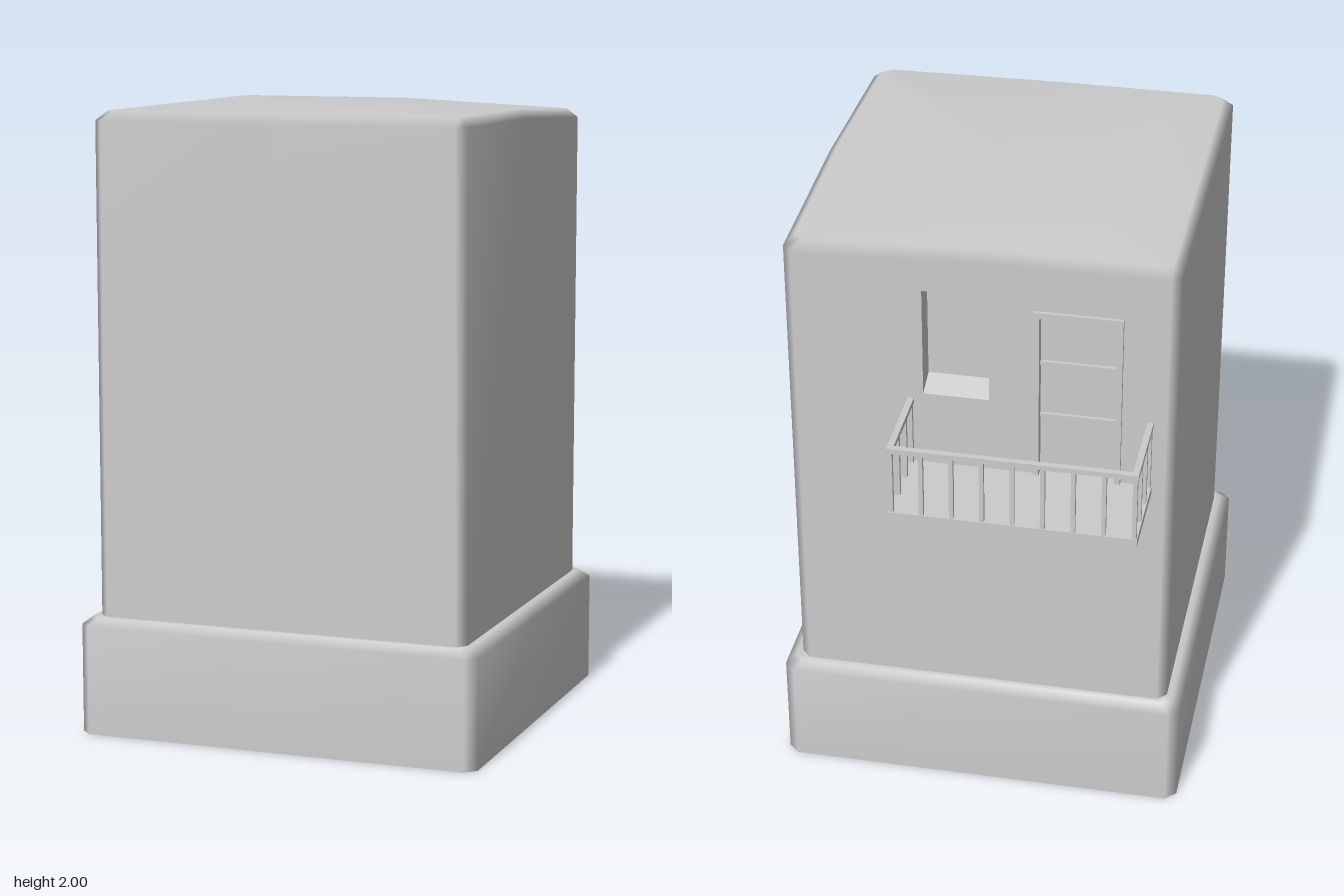
import * as THREE from 'three';

const grey = new THREE.MeshStandardMaterial({ color: 0xcccccc });
const greyOpen = new THREE.MeshStandardMaterial({ color: 0xcccccc, side: THREE.DoubleSide });
const BACK = -0.49;

function add(parent, name, geometry, material = grey) {
  const mesh = new THREE.Mesh(geometry, material);
  mesh.name = name;
  parent.add(mesh);
  return mesh;
}

// Box given by its two extreme corners
function box(parent, name, x0, x1, y0, y1, z0, z1) {
  const g = new THREE.BoxGeometry(x1 - x0, y1 - y0, z1 - z0);
  g.translate((x0 + x1) / 2, (y0 + y1) / 2, (z0 + z1) / 2);
  return add(parent, name, g);
}

// Slight sag of the back left roof corner and lean of the front left corner
function settle([x, y, z]) {
  const t = Math.max(0, (y - 0.38) / 1.62);
  if (x > 0.5 && z < -0.4 && y > 1.9) return [x, y - 0.025, z];
  if (x > 0.5 && z > 0.6) return [x - 0.015 * t, y, z - 0.015 * t];
  return [x, y, z];
}

// Chamfered rectangle with a point in the middle of each side
function ring(a, y, c) {
  const zb = 0.13 - a, zf = a + 0.12, m = 0.125;
  return [
    [a - c, y, zb], [a, y, zb + c], [a, y, m], [a, y, zf - c],
    [a - c, y, zf], [0, y, zf], [c - a, y, zf], [-a, y, zf - c],
    [-a, y, m], [-a, y, zb + c], [c - a, y, zb], [0, y, zb],
  ].map(settle);
}

// Hollow shell, open below: plinth, ledge, walls and roof
function shell(rings) {
  const n = 12, points = rings.flat(), all = [], kept = [];
  points.push([0, 1.998, 0.125]);
  const push = (skip, ...ids) => {
    all.push(...ids);
    if (!skip) kept.push(...ids);
  };
  for (let i = 0; i < rings.length - 1; i++) {
    for (let j = 0; j < n; j++) {
      const a = i * n + j, b = i * n + (j + 1) % n;
      // the back wall is a separate pierced panel
      push(i === 4 && j >= 10, a, a + n, b, b, a + n, b + n);
    }
  }
  const last = (rings.length - 1) * n;
  for (let j = 0; j < n; j++) push(false, points.length - 1, last + (j + 1) % n, last + j);
  const g = new THREE.BufferGeometry();
  g.setAttribute('position', new THREE.Float32BufferAttribute(points.flat(), 3));
  g.setIndex(all);
  g.computeVertexNormals();
  g.setIndex(kept);
  return g;
}

// Five-sided tray set into the back wall, with an optional sloping sill
function recess(parent, name, o, depth, sill = 0) {
  const g = new THREE.BoxGeometry(o.x1 - o.x0, o.y1 - o.y0, depth);
  g.setIndex(Array.from(g.index.array).slice(0, 30));
  const p = g.attributes.position;
  for (let i = 0; i < p.count; i++) {
    if (p.getZ(i) > 0 && p.getY(i) < 0) p.setY(i, p.getY(i) + sill);
  }
  // turn the faces inward
  const ids = g.index.array;
  for (let i = 0; i < ids.length; i += 3) [ids[i], ids[i + 1]] = [ids[i + 1], ids[i]];
  const flat = g.toNonIndexed();
  flat.computeVertexNormals();
  flat.translate((o.x0 + o.x1) / 2, (o.y0 + o.y1) / 2, BACK + depth / 2);
  add(parent, name, flat, greyOpen);
}

export function createModel() {
  const model = new THREE.Group();
  model.name = 'tower';

  const rings = [
    ring(0.67, 0, 0.035), ring(0.67, 0.355, 0.035), ring(0.64, 0.38, 0.03),
    ring(0.62, 0.38, 0.03), ring(0.62, 0.381, 0.03), ring(0.62, 1.97, 0.03), ring(0.59, 2, 0.03),
  ];
  add(model, 'towerShell', shell(rings), greyOpen);

  // Back wall with window and door openings, drawn mirrored then turned round
  const win = { x0: -0.03, x1: 0.18, y0: 1.48, y1: 1.85 };
  const door = { x0: -0.43, x1: -0.19, y0: 1.225, y1: 1.8 };
  const outline = [rings[4][10], rings[4][0], rings[5][0], rings[5][11], rings[5][10]];
  const wall = new THREE.Shape(outline.map(([x, y]) => new THREE.Vector2(-x, y)));
  for (const o of [win, door]) {
    wall.holes.push(new THREE.Path([
      [-o.x0, o.y0], [-o.x0, o.y1], [-o.x1, o.y1], [-o.x1, o.y0],
    ].map(([x, y]) => new THREE.Vector2(x, y))));
  }
  const wallGeometry = new THREE.ShapeGeometry(wall).rotateY(Math.PI).translate(0, 0, BACK);
  add(model, 'backWall', wallGeometry, greyOpen);
  recess(model, 'windowRecess', win, 0.08, 0.03);

  // Door with thin frame and cross rails
  const doorway = new THREE.Group();
  doorway.name = 'door';
  model.add(doorway);
  recess(doorway, 'doorPanel', door, 0.02);
  const f0 = BACK - 0.013, f1 = BACK + 0.005;
  box(doorway, 'doorJamb', door.x0 - 0.02, door.x0, 1.225, 1.82, f0, f1);
  box(doorway, 'doorJamb', door.x1, door.x1 + 0.02, 1.225, 1.82, f0, f1);
  box(doorway, 'doorLintel', door.x0, door.x1, 1.8, 1.82, f0, f1);
  for (const y of [1.44, 1.63]) {
    box(doorway, 'doorRail', door.x0, door.x1, y - 0.006, y + 0.006, BACK + 0.008, BACK + 0.02);
  }

  // Balcony slab, handrails and balusters
  const balcony = new THREE.Group();
  balcony.name = 'balcony';
  model.add(balcony);
  const x0 = -0.55, x1 = 0.23, z0 = -0.79, w = 0.02;
  box(balcony, 'balconySlab', x0, x1, 1.2, 1.225, z0, BACK);
  box(balcony, 'outerHandrail', x0, x1, 1.443, 1.46, z0, z0 + w);
  for (const x of [x0, x1 - w]) {
    box(balcony, 'sideHandrail', x, x + w, 1.443, 1.46, z0 + w, BACK);
  }
  const post = (x, z) =>
    box(balcony, 'baluster', x - 0.007, x + 0.007, 1.225, 1.443, z - 0.007, z + 0.007);
  const px0 = x0 + w / 2, px1 = x1 - w / 2;
  for (let i = 0; i <= 8; i++) post(px0 + (px1 - px0) * i / 8, z0 + w / 2);
  for (const x of [px0, px1]) for (const z of [-0.685, -0.585, -0.5]) post(x, z);

  return model;
}
